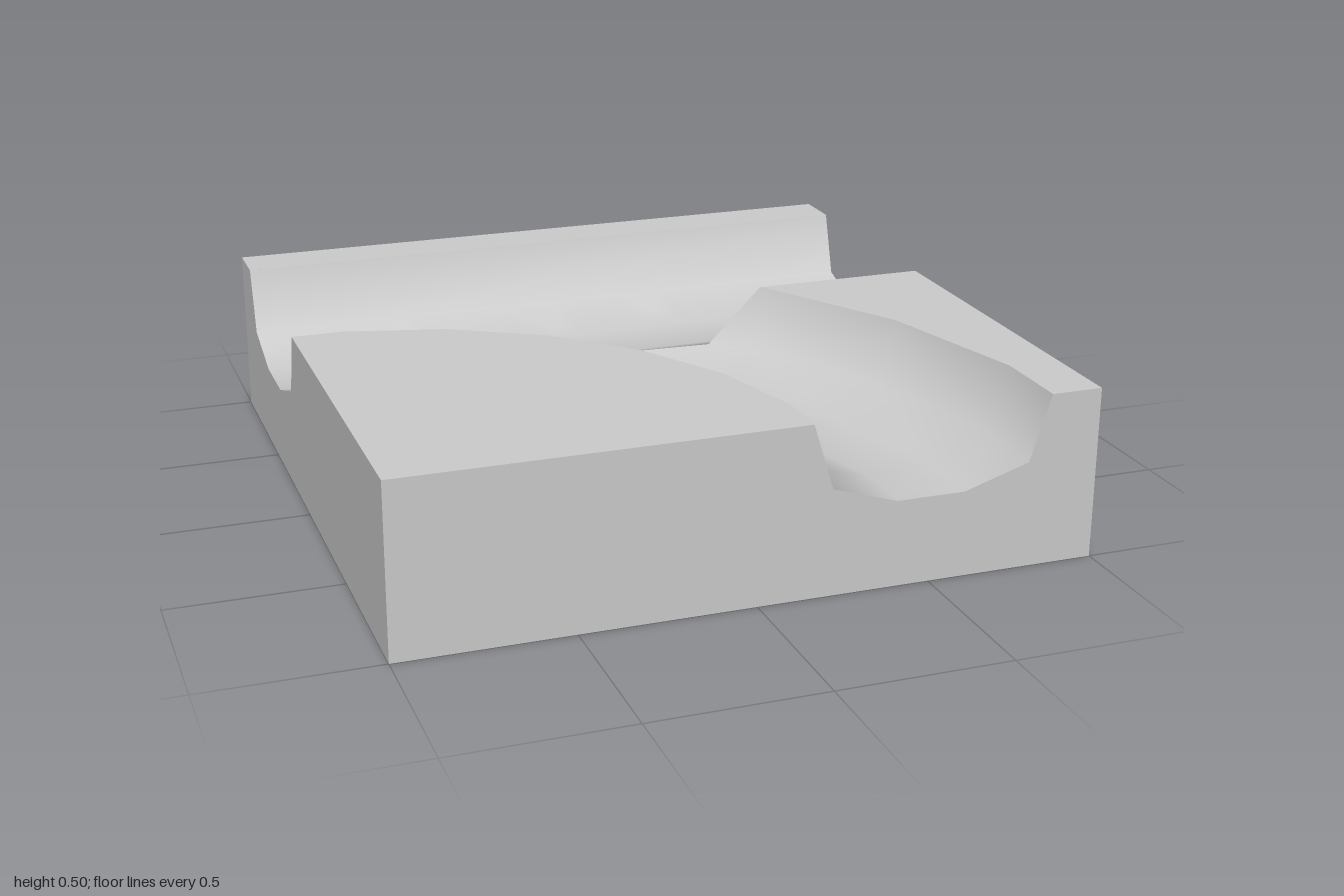
import * as THREE from 'three';

const V = (x, y, z) => new THREE.Vector3(x, y, z);
const EPS = 1e-5, STEP = Math.PI / 12, HALF = STEP / 2;

// Groove cross-section: offset from the centre line, height
const PROFILE = [[-0.35, 0.5], [-0.29, 0.31], [-0.1, 0.25], [0.1, 0.25], [0.29, 0.31], [0.35, 0.5]];
// Smoothed tilt of the groove surface at each profile point
const TILT = [-1.26, -0.78, -0.15, 0.15, 0.78, 1.26];

function tiltAt(u) {
  let i = 0;
  while (i < 4 && u > PROFILE[i + 1][0]) i++;
  return THREE.MathUtils.mapLinear(u, PROFILE[i][0], PROFILE[i + 1][0], TILT[i], TILT[i + 1]);
}

// Smooth normal at offset u, where dir is the horizontal direction across the groove
const grooveNormal = (u, dir) => {
  const t = tiltAt(u);
  return dir.clone().multiplyScalar(-Math.sin(t)).setY(Math.cos(t));
};

// Planes bounding the space of a groove, facing out of that space
function groovePlanes(origin, dir) {
  return PROFILE.slice(1).map(([u, y], i) => {
    const [u0, y0] = PROFILE[i];
    const normal = dir.clone().multiplyScalar(y - y0).setY(u0 - u).normalize();
    return new THREE.Plane().setFromNormalAndCoplanarPoint(normal, origin.clone().addScaledVector(dir, u).setY(y));
  });
}

// Part of a convex polygon on one side of a plane
function clip(poly, plane, offset, sign) {
  const out = [];
  poly.forEach((a, i) => {
    const b = poly[(i + 1) % poly.length];
    const da = sign * (plane.distanceToPoint(a) - offset);
    const db = sign * (plane.distanceToPoint(b) - offset);
    if (da >= 0) out.push(a);
    if ((da > 0 && db < 0) || (da < 0 && db > 0)) out.push(a.clone().lerp(b, da / (da - db)));
  });
  return out.length > 2 ? out : [];
}

// Remove a convex cutter from a list of polygons
function subtract(polys, planes, offset) {
  return polys.flatMap((poly) => {
    const kept = [];
    let rest = poly;
    for (const plane of planes) {
      const outside = clip(rest, plane, offset, 1);
      if (outside.length) kept.push(outside);
      rest = clip(rest, plane, offset, -1);
      if (!rest.length) break;
    }
    return kept;
  });
}

// Fan each polygon into triangles, wound to agree with its normals
function buildMesh(name, polys, normalAt) {
  const pos = [], nor = [];
  for (const p of polys) {
    for (let i = 1; i < p.length - 1; i++) {
      let tri = [p[0], p[i], p[i + 1]];
      const face = tri[1].clone().sub(tri[0]).cross(tri[2].clone().sub(tri[0]));
      if (face.length() < 1e-8) continue;
      const normals = tri.map((v) => normalAt(v));
      const sum = normals[0].clone().add(normals[1]).add(normals[2]);
      const order = face.dot(sum) < 0 ? [0, 2, 1] : [0, 1, 2];
      for (const k of order) {
        pos.push(...tri[k].toArray());
        nor.push(...normals[k].toArray());
      }
    }
  }
  const geo = new THREE.BufferGeometry();
  geo.setAttribute('position', new THREE.Float32BufferAttribute(pos, 3));
  geo.setAttribute('normal', new THREE.Float32BufferAttribute(nor, 3));
  const mesh = new THREE.Mesh(geo, new THREE.MeshStandardMaterial({ color: 0xcccccc }));
  mesh.name = name;
  return mesh;
}

export function createModel() {
  const group = new THREE.Group();
  group.name = 'trackTile';

  // Straight groove along x
  const straightOrigin = V(0, 0, -0.5), across = V(0, 0, 1);
  const straightCutter = groovePlanes(straightOrigin, across);
  let straight = PROFILE.slice(1).map(([u, y], i) => {
    const [u0, y0] = PROFILE[i];
    return [V(-1, y0, u0 - 0.5), V(1, y0, u0 - 0.5), V(1, y, u - 0.5), V(-1, y, u - 0.5)];
  });

  // Quarter bend around the front corner, in 15 degree facets
  const centre = V(-1, 0, 1), radius = 1.5;
  const radial = (a) => V(Math.cos(a), 0, -Math.sin(a));
  const bendCutters = [];
  let bend = [];
  for (let k = 0; k <= 6; k++) {
    const a = k * STEP, dir = radial(a);
    const a0 = Math.max(0, a - HALF), a1 = Math.min(Math.PI / 2, a + HALF);
    const planes = groovePlanes(centre.clone().addScaledVector(dir, radius), dir);
    // Mitre planes between neighbouring facets, overlapping by a hair
    const mitre = (angle, s) => {
      const n = V(-Math.sin(angle) * s, 0, -Math.cos(angle) * s);
      planes.push(new THREE.Plane(n, -n.dot(centre) - 3 * EPS));
    };
    if (k > 0) mitre(a0, -1);
    if (k < 6) mitre(a1, 1);
    bendCutters.push(planes);

    const corner = ([u, y], angle) =>
      centre.clone().addScaledVector(radial(angle), (radius + u) / Math.cos(angle - a)).setY(y);
    for (let i = 0; i < 5; i++) {
      const p = PROFILE[i], q = PROFILE[i + 1];
      bend.push([corner(p, a0), corner(p, a1), corner(q, a1), corner(q, a0)]);
    }
  }

  // Where the grooves coincide the straight one keeps the surface
  bend = subtract(bend, straightCutter, EPS);
  for (const cutter of bendCutters) straight = subtract(straight, cutter, -EPS);

  group.add(buildMesh('straightGroove', straight, (v) => grooveNormal(v.z + 0.5, across)));
  group.add(buildMesh('curvedGroove', bend, (v) => {
    const a = Math.atan2(1 - v.z, v.x + 1);
    const k = Math.round(THREE.MathUtils.clamp(a / STEP, 0, 6));
    const u = Math.hypot(v.x + 1, v.z - 1) * Math.cos(a - k * STEP) - radius;
    return grooveNormal(u, radial(a));
  }));

  // Block faces with the grooves cut out
  const block = new THREE.Group();
  block.name = 'block';
  const faces = {
    top: [V(0, 1, 0), V(1, 0, 0), V(0, 0, 1)],
    bottom: [V(0, -1, 0), V(1, 0, 0), V(0, 0, 1)],
    leftSide: [V(1, 0, 0), V(0, 1, 0), V(0, 0, 1)],
    rightSide: [V(-1, 0, 0), V(0, 1, 0), V(0, 0, 1)],
    frontSide: [V(0, 0, 1), V(1, 0, 0), V(0, 1, 0)],
    backSide: [V(0, 0, -1), V(1, 0, 0), V(0, 1, 0)],
  };
  for (const [name, [n, s, t]] of Object.entries(faces)) {
    const quad = [[-1, -1], [1, -1], [1, 1], [-1, 1]].map(([i, j]) =>
      n.clone().addScaledVector(s, i).addScaledVector(t, j).multiply(V(1, 0.25, 1)).add(V(0, 0.25, 0)));
    let polys = subtract([quad], straightCutter, EPS);
    for (const cutter of bendCutters) polys = subtract(polys, cutter, EPS);
    block.add(buildMesh(name, polys, () => n));
  }
  group.add(block);
  return group;
}
